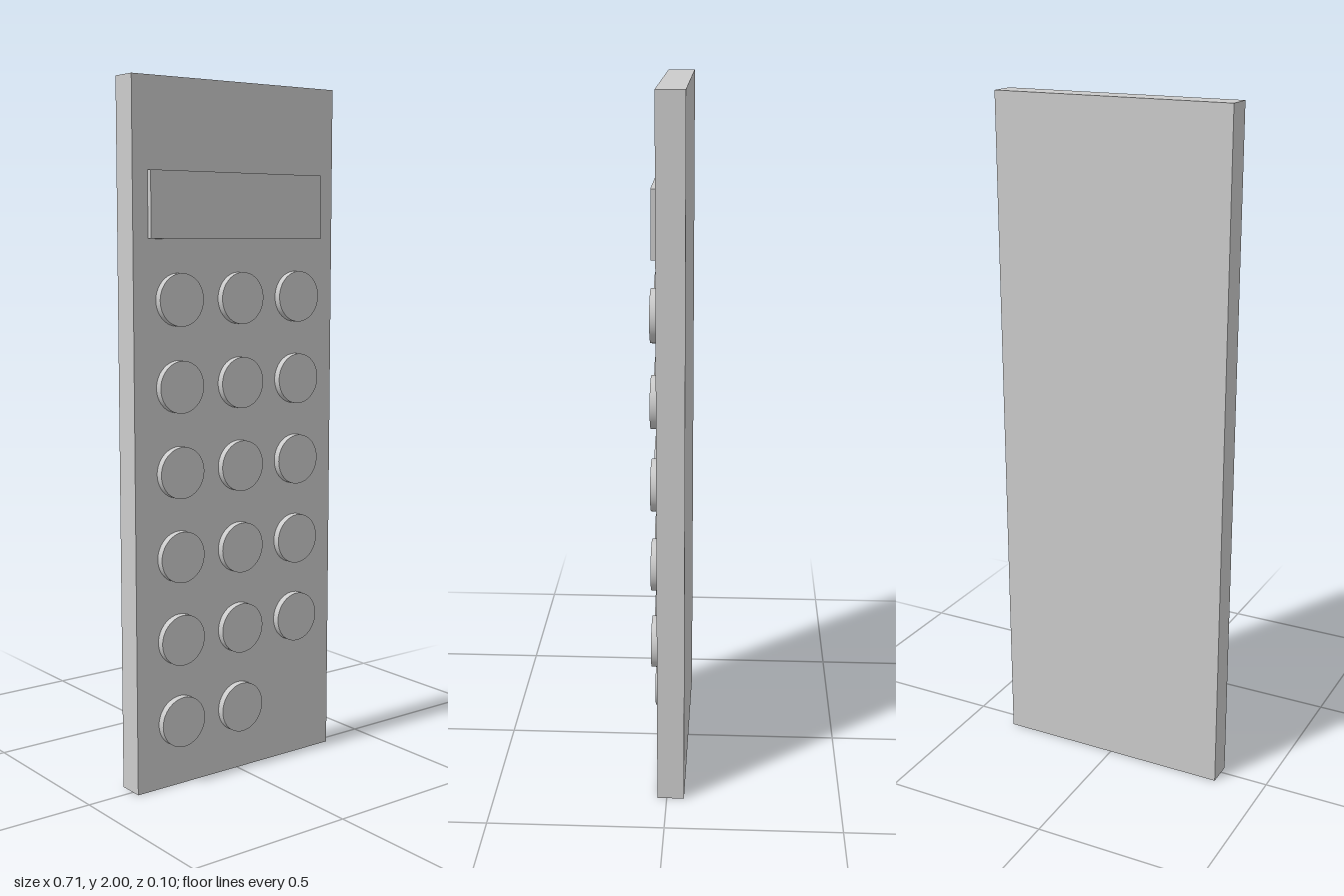
import * as THREE from 'three';

const FACE_Z = 0.027; // front face of the body
const material = new THREE.MeshStandardMaterial({ color: 0xcccccc });

function addPart(parent, name, geometry, x, y, z) {
  const mesh = new THREE.Mesh(geometry, material);
  mesh.name = name;
  mesh.position.set(x, y, z);
  parent.add(mesh);
}

export function createModel() {
  const model = new THREE.Group();
  model.name = 'calculator';

  // Flat slab body
  const back = -0.05;
  addPart(model, 'body', new THREE.BoxGeometry(0.707, 2, FACE_Z - back), 0, 1, (FACE_Z + back) / 2);

  // Raised display panel
  addPart(model, 'display', new THREE.BoxGeometry(0.603, 0.184, 0.015), -0.003, 1.658, FACE_Z + 0.0075);

  // Round keys: six rows of three, the last key left out
  const keys = new THREE.Group();
  keys.name = 'keypad';
  const depth = 0.021;
  const keyGeometry = new THREE.CylinderGeometry(0.0735, 0.0735, depth, 64).rotateX(Math.PI / 2);
  const columns = [-0.207, 0.005, 0.212];
  for (let row = 0; row < 6; row++) {
    columns.forEach((x, column) => {
      if (row === 5 && column === 2) return;
      addPart(keys, 'key', keyGeometry, x, 1.399 - row * 0.2416, FACE_Z + depth / 2);
    });
  }
  model.add(keys);

  return model;
}
